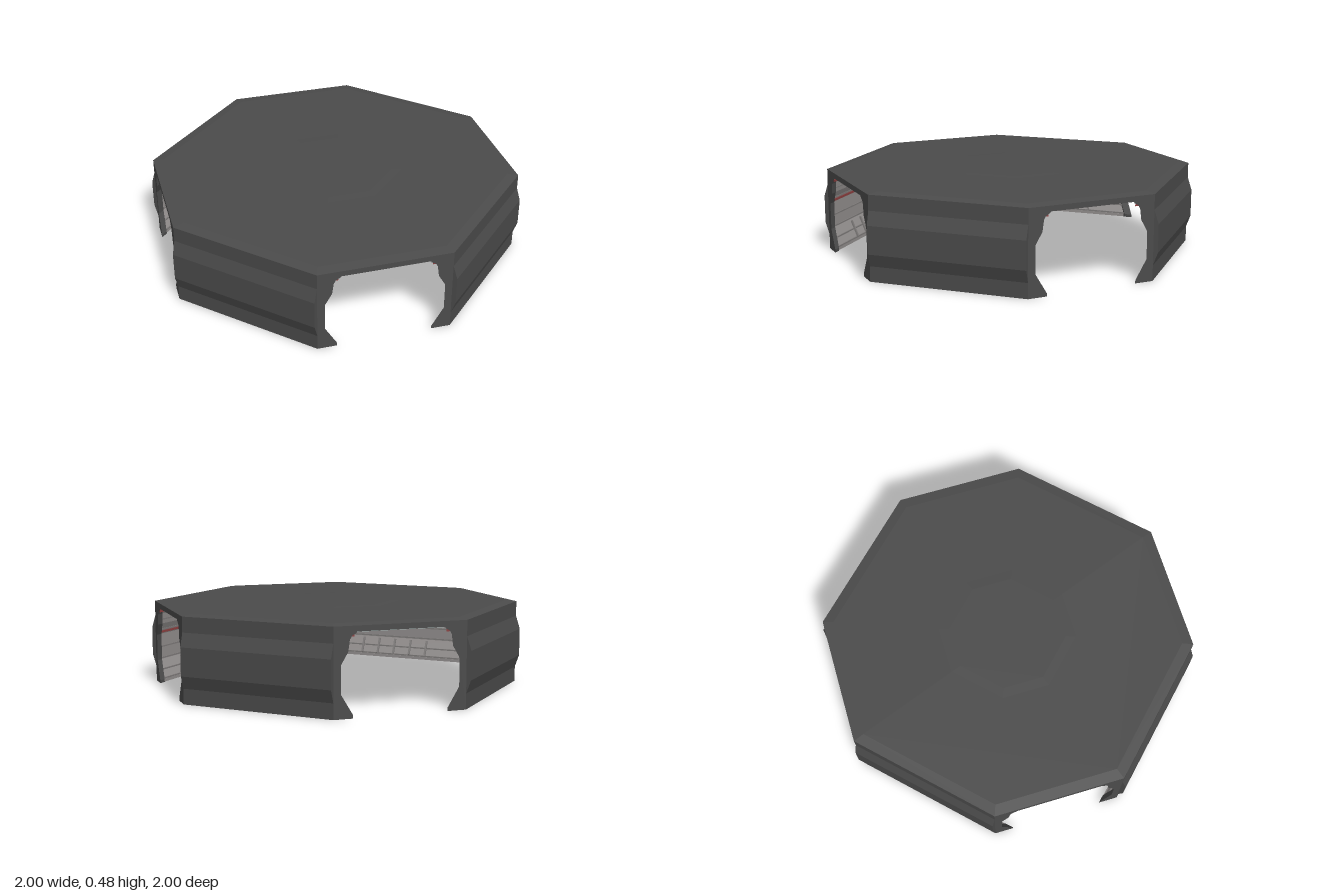
import * as THREE from 'three';

const mat = (name, color) => Object.assign(new THREE.MeshStandardMaterial({ color }), { name });

// Wall cross-sections as [distance from centre, height]
const FACE = 0.9546;
const OUTER = [[FACE, 0.445], [FACE, 0.005]];
const BULGE = [[FACE, 0.09], [0.979, 0.16], [0.979, 0.315], [FACE, 0.39]];
const INNER = [[0.88, 0.005], [0.88, 0.022], [0.926, 0.13], [0.926, 0.28], [0.899, 0.345],
  [0.893, 0.405], [0.885, 0.425], [0.868, 0.438], [0.866, 0.445]];
const RECESS = INNER.map(([d, y]) => [d + 0.014, y]);
// Half length of a wall at distance d, so its ends lie flush with the doorways
const halfLength = (d) => (d > 0.955 ? 0.437 : 0.985 * Math.SQRT2 - d);

const shapeOf = (points) => new THREE.Shape(points.map(([a, b]) => new THREE.Vector2(a, b)));

// Sweeps a cross-section along a wall; from and to give the ends at distance d
function sweep(points, from, to) {
  const g = new THREE.ExtrudeGeometry(shapeOf(points), { depth: 1, bevelEnabled: false });
  const p = g.attributes.position;
  for (let i = 0; i < p.count; i++) {
    const d = p.getX(i);
    p.setXYZ(i, -(p.getZ(i) < 0.5 ? from(d) : to(d)), p.getY(i), d);
  }
  g.computeVertexNormals();
  return g;
}

// Flat plate standing on y0; its upper outline is scaled by topScale
function plate(shape, y0, y1, topScale = 1) {
  const g = new THREE.ExtrudeGeometry(shape, { depth: y1 - y0, bevelEnabled: false });
  g.rotateX(-Math.PI / 2);
  const p = g.attributes.position;
  for (let i = 0; i < p.count; i++) {
    const s = p.getY(i) > (y1 - y0) / 2 ? topScale : 1;
    p.setXYZ(i, p.getX(i) * s, p.getY(i) + y0, p.getZ(i) * s);
  }
  g.computeVertexNormals();
  return g;
}

const octagon = (k) => shapeOf([[0.985, 0.365], [0.365, 0.985], [-0.365, 0.985], [-0.985, 0.365],
  [-0.985, -0.365], [-0.365, -0.985], [0.365, -0.985], [0.985, -0.365]].map(([x, z]) => [x * k, z * k]));

// Tapering ceiling bay towards the front (1) or back (-1) doorway
const bay = (side, inset = 0) => {
  const wide = 0.455 - inset * 1.53, narrow = 0.21 - inset * 0.65;
  const near = (0.345 + inset) * side, far = (0.9 - inset) * side;
  return [[-wide, near], [wide, near], [narrow, far], [-narrow, far]];
};

export function createModel() {
  const model = new THREE.Group();
  const shell = mat('charcoal shell', 0x4b4b4b);
  const slate = mat('slate ceiling', 0xa6b5b3);
  const paleSlate = mat('pale slate trim', 0xd2dedc);
  const panel = mat('light grey panel', 0x938f8e);
  const pipe = mat('grey pipe', 0x7e7b7a);
  const red = mat('red strip', 0x8c4040);
  const pale = mat('pale fitting', 0xc0c8cc);

  const add = (parent, name, geometry, material) => {
    const m = new THREE.Mesh(geometry, material);
    m.name = name;
    parent.add(m);
    return m;
  };

  // Roof with a shallow bevel and a faint raised centre
  add(model, 'roofSlab', plate(octagon(1), 0.445, 0.475), shell);
  add(model, 'roofBevel', plate(octagon(1), 0.475, 0.483, 0.94), shell);
  add(model, 'roofCentre', plate(octagon(0.37), 0.483, 0.485, 0.85), shell);

  // Ceiling with two slatted bays
  const ceiling = octagon(0.955);
  [1, -1].forEach((side) => ceiling.holes.push(new THREE.Path(shapeOf(bay(side)).getPoints())));
  add(model, 'ceiling', plate(ceiling, 0.436, 0.445), slate);
  for (const side of [1, -1]) {
    add(model, 'bayPanel', plate(shapeOf(bay(side)), 0.443, 0.446), slate);
    const trim = shapeOf(bay(side));
    trim.holes.push(new THREE.Path(shapeOf(bay(side, 0.035)).getPoints()));
    add(model, 'bayTrim', plate(trim, 0.438, 0.444), paleSlate);
    for (const z of [0.48, 0.61, 0.74]) {
      const half = 0.42 - (z - 0.345) * 0.44;
      add(model, 'baySlat', new THREE.BoxGeometry(half * 2, 0.008, 0.016), paleSlate)
        .position.set(0, 0.441, z * side);
    }
  }

  for (let k = 0; k < 4; k++) {
    const wall = new THREE.Group();
    wall.name = 'wall';
    wall.rotation.y = Math.PI / 4 + k * Math.PI / 2;
    model.add(wall);

    const frameAt = (d) => halfLength(d) - 0.045;
    const inside = (d) => halfLength(d) - 0.046;
    const neg = (f) => (d) => -f(d);
    // Bar of a small rectangular section along the wall
    const bar = (name, d, y, w, h, material, end = inside) => add(wall, name,
      sweep([[d - w, y - h], [d + w, y - h], [d + w, y + h], [d - w, y + h]], neg(end), end), material);

    // Body, outer bulge and raised end frames
    add(wall, 'wallBody', sweep([...OUTER, ...RECESS], neg(frameAt), frameAt), shell);
    add(wall, 'wallBulge', sweep(BULGE, neg(halfLength), halfLength), shell);
    add(wall, 'endFrame', sweep([...OUTER, ...INNER], frameAt, halfLength), shell);
    add(wall, 'endFrame', sweep([...OUTER, ...INNER], neg(halfLength), neg(frameAt)), shell);

    // Inner lining and the rails along it
    for (let i = 0; i < RECESS.length - 3; i++) {
      const [d0, y0] = RECESS[i], [d1, y1] = RECESS[i + 1];
      add(wall, 'liningPanel', sweep([[d0, y0], [d1, y1], [d1 - 0.008, y1], [d0 - 0.008, y0]], neg(inside), inside), panel);
      if (y1 - y0 < 0.03) continue;
      for (const t of y1 - y0 > 0.1 ? [0.05, 0.5] : [0.45]) {
        bar('rail', d0 + (d1 - d0) * t - 0.009, y0 + (y1 - y0) * t, 0.004, 0.004, pipe);
      }
    }
    bar('upperRedStrip', 0.876, 0.428, 0.006, 0.008, red, (d) => halfLength(d) - 0.008);
    bar('lowerRedStrip', 0.924, 0.294, 0.006, 0.006, red);

    // Upright ribs on the flared foot
    for (let i = -2; i <= 2; i++) {
      const rib = add(wall, 'footRib', new THREE.BoxGeometry(0.012, 0.1, 0.014), pipe);
      rib.position.set(i * 0.11, 0.075, 0.906);
      rib.rotation.x = Math.atan2(0.046, 0.11);
    }

    // Small pale fittings
    for (const [x, w] of [[-0.07, 0.08], [-0.19, 0.1], [-0.32, 0.08]]) {
      add(wall, 'fitting', new THREE.BoxGeometry(w, 0.024, 0.009), pale).position.set(x, 0.25, 0.929);
    }
  }
  return model;
}
